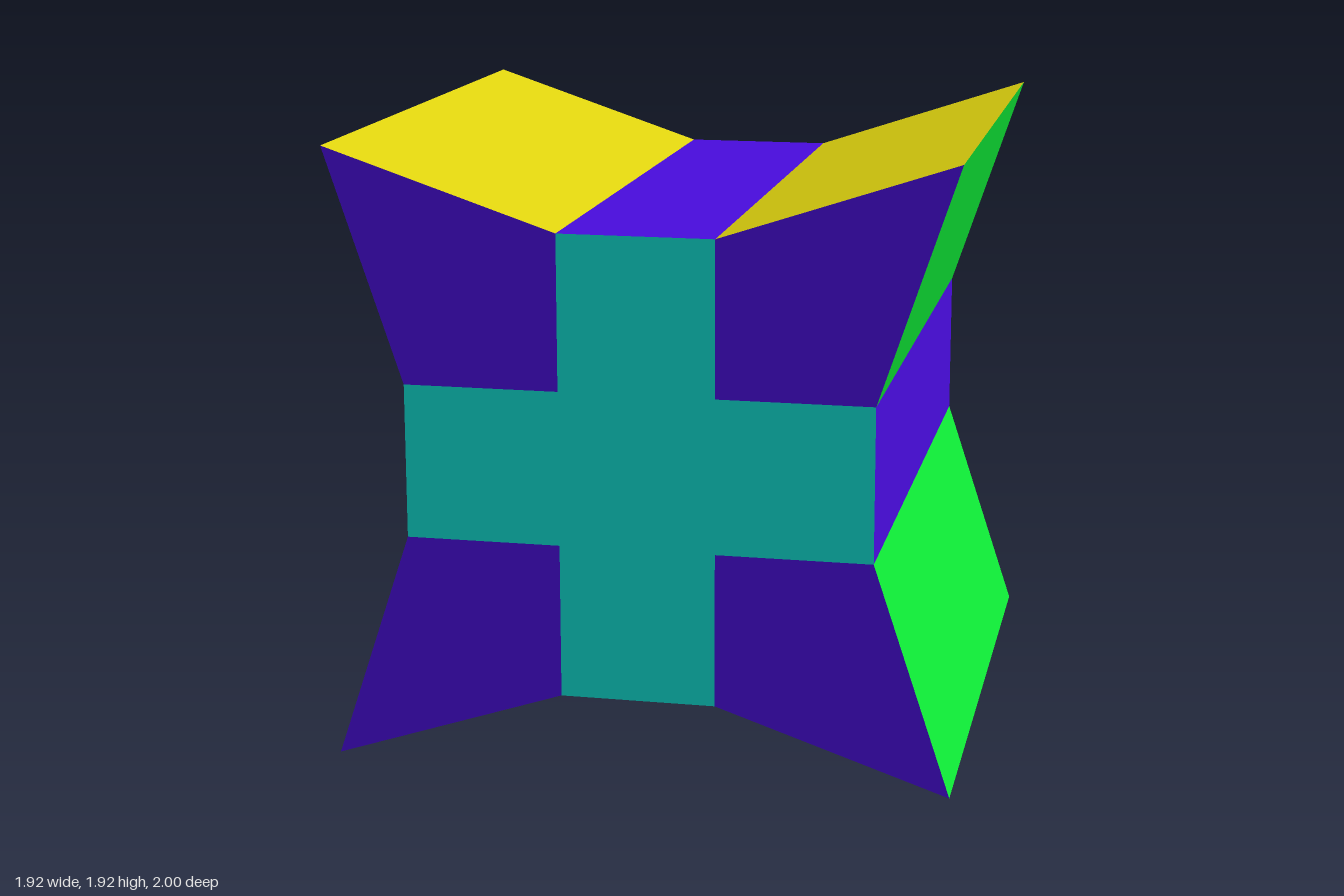
import * as THREE from 'three';

const paint = (color) => new THREE.MeshStandardMaterial({ color, flatShading: true });
const cyan = paint(0x0fe0d5), purple = paint(0x4a0cdf), green = paint(0x0ff038), yellow = paint(0xe0d40f);

const TIP = 0.96, ARM = 0.72, HALF = 0.24, DEPTH = 2;

function named(name, geometry, material) {
  const mesh = new THREE.Mesh(geometry, material);
  mesh.name = name;
  return mesh;
}

const flat = (points) => new THREE.ShapeGeometry(new THREE.Shape(points.map(([x, y]) => new THREE.Vector2(x, y))));

// Full-depth panel from one outline point to the next, facing outward
function panel([x0, y0], [x1, y1]) {
  return new THREE.PlaneGeometry(Math.hypot(x1 - x0, y1 - y0), DEPTH)
    .rotateX(-Math.PI / 2)
    .rotateZ(Math.atan2(y1 - y0, x1 - x0))
    .translate((x0 + x1) / 2, (y0 + y1) / 2, 0);
}

// End face: a cross with four pointed corners
function endFace(name) {
  const group = new THREE.Group();
  group.name = name;
  group.add(named('cross', flat([
    [HALF, HALF], [HALF, ARM], [-HALF, ARM], [-HALF, HALF], [-ARM, HALF], [-ARM, -HALF],
    [-HALF, -HALF], [-HALF, -ARM], [HALF, -ARM], [HALF, -HALF], [ARM, -HALF], [ARM, HALF],
  ]), cyan));
  for (let i = 0; i < 4; i++) {
    const corner = named('corner', flat([[HALF, HALF], [ARM, HALF], [TIP, TIP], [HALF, ARM]]), purple);
    corner.rotation.z = i * Math.PI / 2;
    group.add(corner);
  }
  return group;
}

export function createModel() {
  const model = new THREE.Group();
  model.name = 'starPrism';
  const body = new THREE.Group();
  body.name = 'body';
  body.position.y = TIP;
  model.add(body);

  const front = endFace('frontFace');
  front.position.z = DEPTH / 2;
  const back = endFace('backFace');
  back.position.z = -DEPTH / 2;
  back.rotation.y = Math.PI;
  body.add(front, back);

  // Four channelled sides: two slopes meeting a flat strip
  ['top', 'left', 'bottom', 'right'].forEach((name, i) => {
    const side = new THREE.Group();
    side.name = name + 'Side';
    const slope = i % 2 ? green : yellow;
    side.add(
      named('slope', panel([-TIP, TIP], [-HALF, ARM]), slope),
      named('strip', panel([-HALF, ARM], [HALF, ARM]), purple),
      named('slope', panel([HALF, ARM], [TIP, TIP]), slope),
    );
    side.rotation.z = -i * Math.PI / 2;
    body.add(side);
  });
  return model;
}
